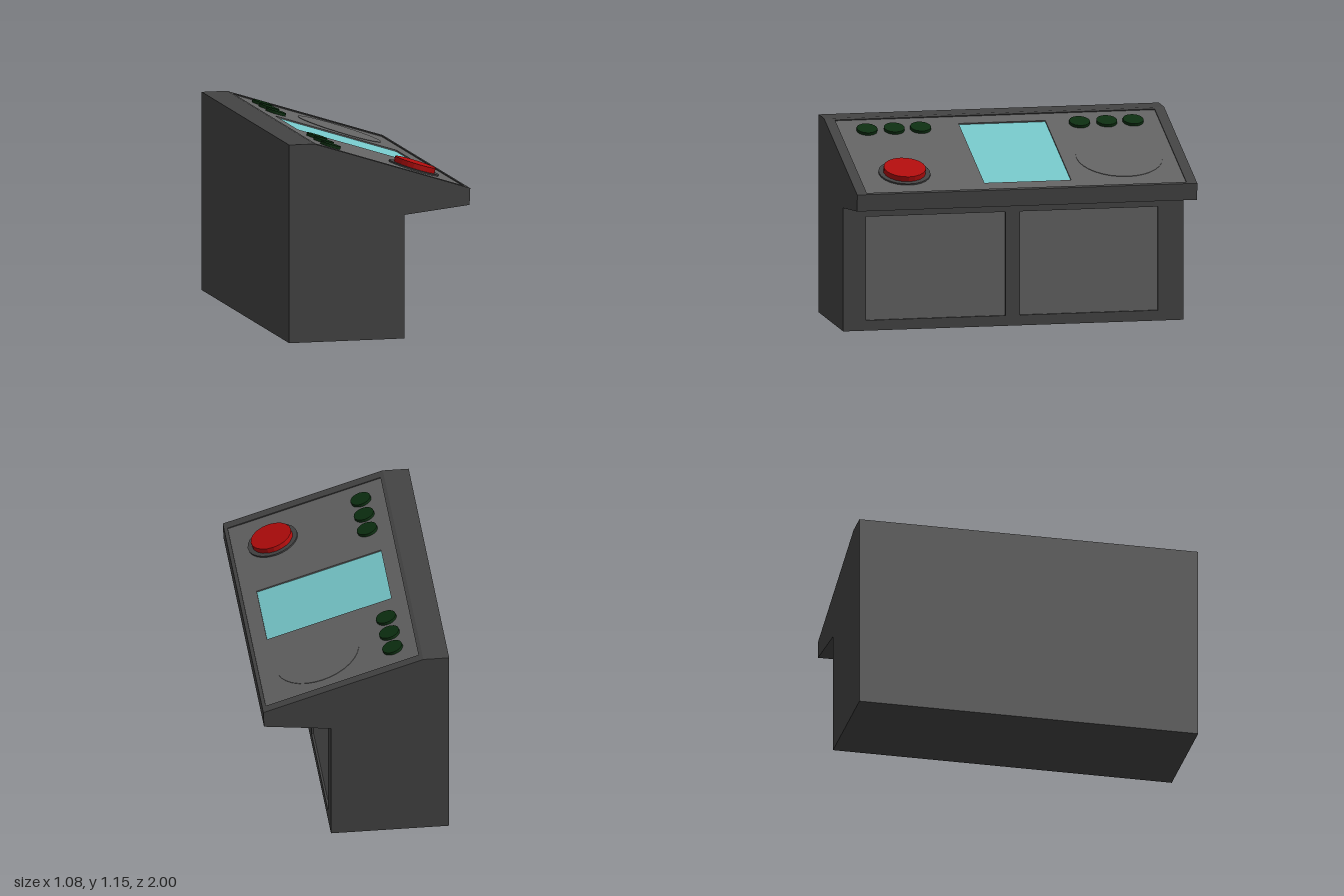
import * as THREE from 'three';

const mat = (name, color, extra = {}) => {
  const m = new THREE.MeshStandardMaterial({ color, ...extra });
  m.name = name;
  return m;
};

export function createModel() {
  const casing = mat('dark grey casing', 0x444444, { flatShading: true });
  const plate = mat('mid grey panel', 0x636363, { flatShading: true });
  const red = mat('red', 0xb30c0c, { flatShading: true });
  const green = mat('dark green', 0x0c2e10, { flatShading: true });
  const teal = mat('pale teal screen', 0x76c8ca, { flatShading: true });

  const root = new THREE.Group();
  root.name = 'controlConsole';
  const add = (parent, name, geometry, material, x = 0, y = 0, z = 0) => {
    const mesh = new THREE.Mesh(geometry, material);
    mesh.name = name;
    mesh.position.set(x, y, z);
    parent.add(mesh);
    return mesh;
  };
  // box given by its two opposite corners
  const block = (parent, name, material, [x0, x1], [y0, y1], [z0, z1]) =>
    add(parent, name, new THREE.BoxGeometry(x1 - x0, y1 - y0, z1 - z0), material,
      (x0 + x1) / 2, (y0 + y1) / 2, (z0 + z1) / 2);

  // sloping desk frame: local x runs down the slope, local y points out of it
  const crest = new THREE.Vector2(-0.39, 1.155);
  const lip = new THREE.Vector2(0.537, 0.86);
  const tilt = Math.atan2(lip.y - crest.y, lip.x - crest.x);
  const onSlope = (s, h) => new THREE.Vector2(s, h).rotateAround(new THREE.Vector2(), tilt).add(crest);

  const deskDepth = 0.02, doorDepth = 0.02;
  const s0 = 0.022, s1 = 0.951, front = 0.145;

  // casing: side profile with shallow notches for the desk and the doors
  const profile = new THREE.Shape([
    new THREE.Vector2(-0.54, 0), new THREE.Vector2(front, 0),
    new THREE.Vector2(front, 0.06), new THREE.Vector2(front - doorDepth, 0.06),
    new THREE.Vector2(front - doorDepth, 0.665), new THREE.Vector2(front, 0.665),
    new THREE.Vector2(front, 0.72), new THREE.Vector2(0.533, 0.763), lip,
    onSlope(s1, 0), onSlope(s1, -deskDepth), onSlope(s0, -deskDepth), onSlope(s0, 0),
    crest, new THREE.Vector2(-0.54, 1.155),
  ]);
  const body = new THREE.ExtrudeGeometry(profile, { depth: 2, bevelEnabled: false });
  add(root, 'casing', body, casing, 0, 0, -1);

  // upright stiles between and beside the doors
  for (const span of [[-1, -0.85], [-0.04, 0.045], [0.865, 1]])
    block(root, 'doorStile', casing, [front - doorDepth, front], [0.06, 0.665], span);

  // recessed doors
  for (const span of [[-0.85, -0.04], [0.045, 0.865]])
    block(root, 'door', plate, [front - doorDepth, front - 0.012], [0.06, 0.665], span);

  // sloping desk
  const desk = new THREE.Group();
  desk.name = 'desk';
  desk.position.set(crest.x, crest.y, 0);
  desk.rotation.z = tilt;
  root.add(desk);
  for (const span of [[-1, -0.94], [0.94, 1]])
    block(desk, 'deskEdge', casing, [s0, s1], [-deskDepth, 0], span);

  // panel with the screen opening
  const rect = (Type, x0, x1, z0, z1) => new Type([
    new THREE.Vector2(x0, z0), new THREE.Vector2(x1, z0),
    new THREE.Vector2(x1, z1), new THREE.Vector2(x0, z1),
  ]);
  const panelShape = rect(THREE.Shape, s0, s1, -0.94, 0.94);
  panelShape.holes.push(rect(THREE.Path, 0.108, 0.864, -0.28, 0.23));
  const panel = new THREE.ExtrudeGeometry(panelShape, { depth: 0.014, bevelEnabled: false });
  panel.rotateX(Math.PI / 2);
  add(desk, 'panel', panel, plate, 0, -0.006, 0);
  block(desk, 'screen', teal, [0.108, 0.864], [-0.0195, -0.014], [-0.28, 0.23]);

  // round controls standing on the panel
  const disc = (name, material, r, bottom, top, s, z, sides) =>
    add(desk, name, new THREE.CylinderGeometry(r, r, top - bottom, sides), material,
      s, (bottom + top) / 2, z);
  disc('roundPlate', plate, 0.25, -0.008, -0.003, 0.598, -0.615, 32);
  for (const z of [-0.785, -0.63, -0.47, 0.465, 0.62, 0.78])
    disc('smallButton', green, 0.06, -0.01, 0.011, 0.16, z, 20);
  disc('bigButtonRing', casing, 0.15, -0.01, 0.003, 0.711, 0.67, 24);
  disc('bigButton', red, 0.122, 0, 0.034, 0.711, 0.67, 20);

  return root;
}
